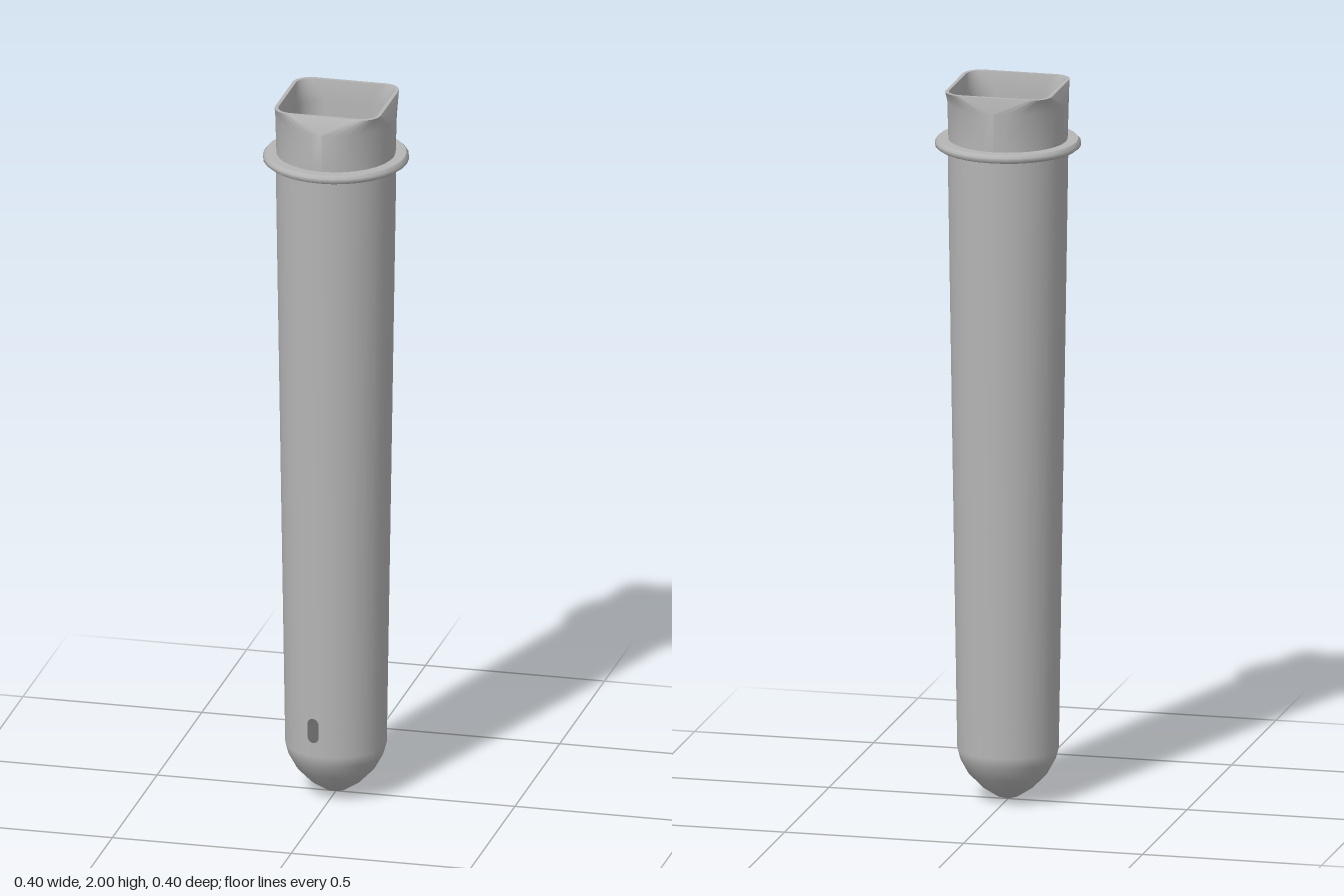
import * as THREE from 'three';

const grey = new THREE.MeshStandardMaterial({ color: 0xb6b6b6 });
grey.name = 'light grey';
const dark = new THREE.MeshStandardMaterial({ color: 0x6e6e6e });
dark.name = 'slot grey';

const Z_TOP = -0.008; // the square mouth sits slightly behind the axis

// Rounded-square ring; a circle when half === radius
function section(half, radius, y, z = 0) {
  const pts = [];
  for (let c = 0; c < 4; c++) {
    const mid = c * Math.PI / 2 + Math.PI / 4;
    const cx = Math.sign(Math.cos(mid)) * (half - radius);
    const cz = Math.sign(Math.sin(mid)) * (half - radius);
    for (let k = 0; k <= 8; k++) {
      const a = (c + k / 8) * Math.PI / 2;
      pts.push(cx + radius * Math.cos(a), y, z + cz + radius * Math.sin(a));
    }
  }
  return pts;
}

// Smooth skin through matching rings
function loft(rings) {
  const n = rings[0].length / 3;
  const index = [];
  for (let r = 0; r < rings.length - 1; r++) {
    for (let i = 0; i < n; i++) {
      const a = r * n + i, b = r * n + (i + 1) % n;
      index.push(a, a + n, b, b, a + n, b + n);
    }
  }
  const g = new THREE.BufferGeometry();
  g.setAttribute('position', new THREE.Float32BufferAttribute(rings.flat(), 3));
  g.setIndex(index);
  g.computeVertexNormals();
  return g;
}

export function createModel() {
  const group = new THREE.Group();
  const add = (name, geometry, material = grey) => {
    const mesh = new THREE.Mesh(geometry, material);
    mesh.name = name;
    group.add(mesh);
  };
  const lathe = (pts) => new THREE.LatheGeometry(pts.map(([x, y]) => new THREE.Vector2(x, y)), 32);

  // Tapered tube with pointed tip, blending softly into the collar's underside
  add('tubeBody', lathe([
    [0, 0], [0.03, 0.01], [0.07, 0.036], [0.108, 0.075], [0.13, 0.115], [0.138, 0.145],
    [0.164, 1.828], [0.19, 1.826],
  ]));

  // Collar edge and top
  add('collarEdge', lathe([[0.19, 1.826], [0.198, 1.832], [0.198, 1.842], [0.191, 1.85]]));
  add('collarTop', lathe([[0.191, 1.85], [0.155, 1.85]]));

  // Neck: round at the collar, square at the mouth
  const rimOuter = section(0.148, 0.05, 2, Z_TOP);
  const rimInner = section(0.138, 0.042, 2, Z_TOP);
  add('neck', loft([section(0.162, 0.162, 1.85), section(0.165, 0.165, 1.955), rimOuter]));
  add('rim', loft([rimOuter, rimInner]));

  // Hollow inside
  const floorRing = section(0.097, 0.035, 0.2, Z_TOP);
  add('cavityWall', loft([rimInner, section(0.129, 0.065, 1.94, Z_TOP), floorRing]));
  add('cavityFloor', loft([floorRing, section(0, 0, 0.2, Z_TOP)]));

  // Small upright slot low on the front, wrapped onto the tube
  const w = 0.016, y0 = 0.185 + w, y1 = 0.255 - w;
  const pill = new THREE.Shape();
  pill.absarc(0, y1, w, 0, Math.PI, false);
  pill.absarc(0, y0, w, Math.PI, Math.PI * 2, false);
  const slot = new THREE.ShapeGeometry(pill, 8);
  const p = slot.attributes.position;
  for (let i = 0; i < p.count; i++) {
    const x = p.getX(i) - 0.03, y = p.getY(i);
    const r = 0.138 + (y - 0.145) * 0.0155 + 0.002;
    p.setXYZ(i, x, y, Math.sqrt(r * r - x * x));
  }
  slot.computeVertexNormals();
  add('frontSlot', slot, dark);

  return group;
}
